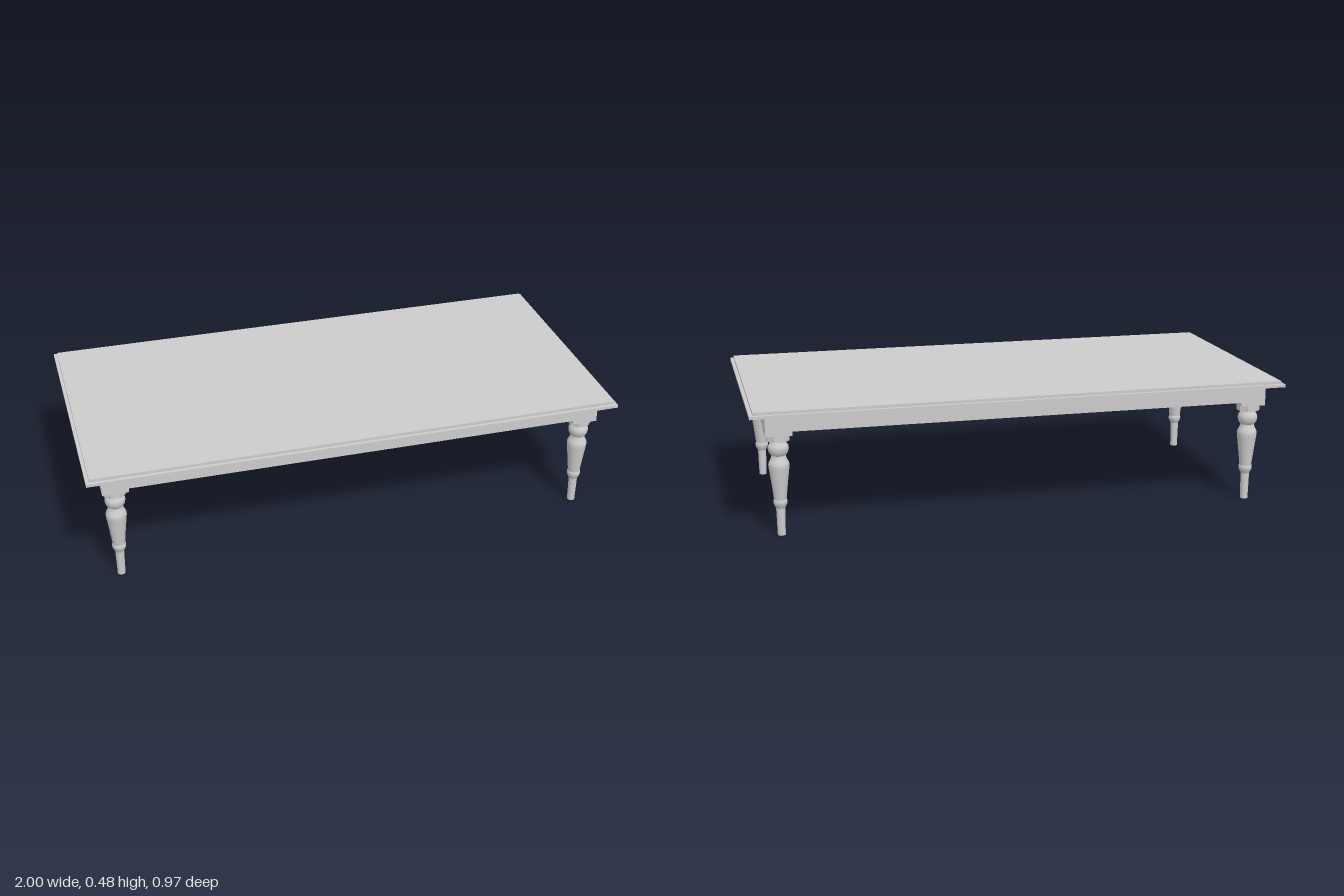
import * as THREE from 'three';

const material = new THREE.MeshStandardMaterial({ color: 0xcccccc });

function add(parent, name, geometry, x, y, z) {
  const mesh = new THREE.Mesh(geometry, material);
  mesh.name = name;
  mesh.position.set(x, y, z);
  parent.add(mesh);
  return mesh;
}

// Box spanning the heights y0 to y1
function slab(parent, name, w, d, y0, y1, x = 0, z = 0) {
  return add(parent, name, new THREE.BoxGeometry(w, y1 - y0, d), x, (y0 + y1) / 2, z);
}

const lathe = (points) =>
  new THREE.LatheGeometry(points.map(([r, y]) => new THREE.Vector2(r, y)), 32);

export function createModel() {
  const table = new THREE.Group();
  table.name = 'table';

  // Stepped top and apron
  slab(table, 'topPanel', 1.975, 0.946, 0.471, 0.482);
  slab(table, 'topLip', 2, 0.972, 0.46, 0.471);
  slab(table, 'apron', 1.888, 0.866, 0.395, 0.46);

  // Turned leg, in sections so that the joints stay crisp
  const foot = lathe([[0, 0], [0.0145, 0], [0.0145, 0.0005], [0.0165, 0.104]]);
  const ring = lathe([[0.0165, 0.102], [0.02, 0.109], [0.0245, 0.118], [0.0255, 0.125], [0.0245, 0.134], [0.021, 0.136]]);
  const shaft = lathe([
    [0.0225, 0.135], [0.03, 0.2], [0.0365, 0.25], [0.038, 0.264], [0.036, 0.273],
    [0.031, 0.283], [0.027, 0.292], [0.0255, 0.3],
  ]);
  const bulb = lathe([
    [0.0255, 0.3], [0.03, 0.304], [0.035, 0.313], [0.0375, 0.325], [0.036, 0.335],
    [0.031, 0.343], [0.027, 0.35], [0.0255, 0.357],
  ]);
  // Eight-sided collar with flat sides toward the axes
  const collarRadius = 0.04 / Math.cos(Math.PI / 8);
  const collar = new THREE.CylinderGeometry(collarRadius, collarRadius, 0.025, 8)
    .rotateY(Math.PI / 8).toNonIndexed();
  collar.computeVertexNormals();

  for (const sx of [-1, 1]) {
    for (const sz of [-1, 1]) {
      const leg = new THREE.Group();
      leg.name = (sz > 0 ? 'front' : 'back') + (sx > 0 ? 'Left' : 'Right') + 'Leg';
      leg.position.set(sx * 0.896, 0, sz * 0.385);
      add(leg, 'foot', foot, 0, 0, 0);
      add(leg, 'ring', ring, 0, 0, 0);
      add(leg, 'shaft', shaft, 0, 0, 0);
      add(leg, 'bulb', bulb, 0, 0, 0);
      add(leg, 'collar', collar, 0, 0.3675, 0);
      slab(leg, 'cornerBlock', 0.096, 0.096, 0.38, 0.395);
      table.add(leg);
    }
  }
  return table;
}
